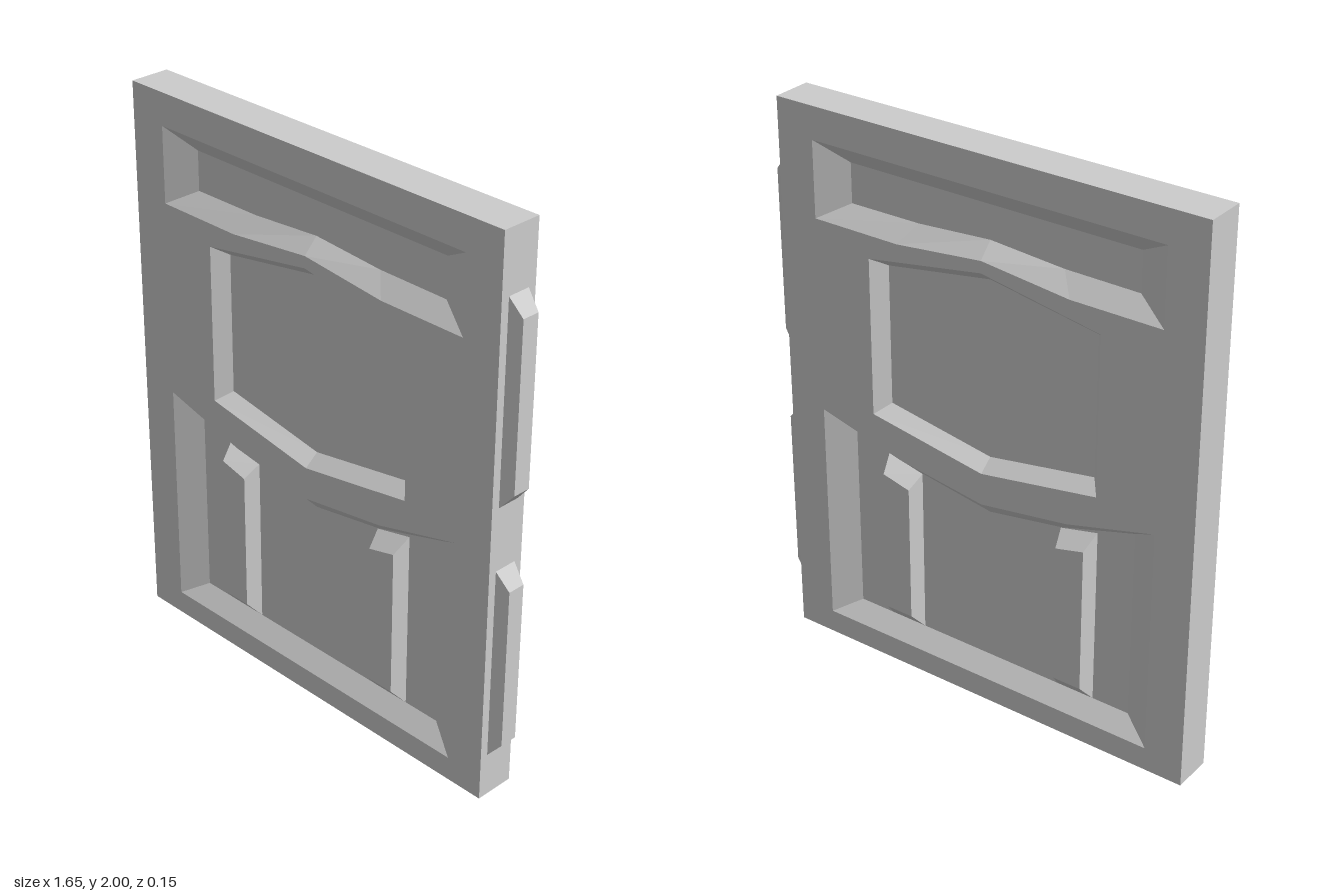
import * as THREE from 'three';
import { mergeGeometries } from 'three/addons/utils/BufferGeometryUtils.js';

const H = 0.072;      // half thickness of the door
const FLOOR = 0.022;  // depth of the recessed panels
const grey = new THREE.MeshStandardMaterial({ color: 0xcccccc, flatShading: true });
const paneGrey = new THREE.MeshStandardMaterial({ color: 0xf0f0f0, flatShading: true });

// Loops run counter-clockwise; give the right half from bottom to top.
const mirrorX = (pts) => pts.map(([x, y]) => [-x, y]).reverse();
const symmetric = (half) => [...half, ...mirrorX(half.filter(([x]) => x > 0))];
const rect = (x0, x1, y0, y1) => [[x0, y0], [x1, y0], [x1, y1], [x0, y1]];
const vectors = (loop) => loop.map(([x, y]) => new THREE.Vector2(x, y));

// Walls joining loop a at depth za to loop b at depth zb
function walls(a, za, b, zb) {
  const pos = [];
  a.forEach((p, i) => {
    const j = (i + 1) % a.length;
    const A = [...p, za], B = [...a[j], za], C = [...b[j], zb], D = [...b[i], zb];
    pos.push(...A, ...B, ...C, ...A, ...C, ...D);
  });
  const g = new THREE.BufferGeometry();
  g.setAttribute('position', new THREE.Float32BufferAttribute(pos, 3));
  g.computeVertexNormals();
  return g;
}

// Flat face at depth z, optionally with holes
function face(loop, z, holes = []) {
  const shape = new THREE.Shape(vectors(loop));
  shape.holes = holes.map((h) => new THREE.Path(vectors(h)));
  const g = new THREE.ShapeGeometry(shape).toNonIndexed();
  g.deleteAttribute('uv');
  return g.translate(0, 0, z);
}

const frustum = (a, za, b, zb) => mergeGeometries([walls(a, za, b, zb), face(b, zb)]);

function add(parent, name, geometry, material = grey) {
  const mesh = new THREE.Mesh(geometry, material);
  mesh.name = name;
  parent.add(mesh);
  return mesh;
}

const outline = rect(-0.8, 0.8, 0, 2);

const upper = {
  outer: symmetric([[0, 1.65], [0.328, 1.615], [0.66, 1.615], [0.66, 1.885]]),
  inner: symmetric([[0, 1.702], [0.275, 1.682], [0.546, 1.68], [0.546, 1.82]]),
};
const windowFrame = {
  outer: symmetric([[0, 0.893], [0.443, 0.966], [0.443, 1.533], [0, 1.608]]),
  inner: symmetric([[0, 0.933], [0.402, 1.0], [0.402, 1.502], [0, 1.568]]),
};
const lower = {
  outer: symmetric([[0.66, 0.086], [0.66, 0.912], [0.335, 0.827], [0, 0.777]]),
  inner: symmetric([[0.558, 0.152], [0.558, 0.85], [0.28, 0.77], [0, 0.724]]),
};
const bar = {
  outer: [[0.28, 0.152], [0.42, 0.152], [0.42, 0.8], [0.28, 0.768]],
  inner: [[0.297, 0.215], [0.403, 0.215], [0.403, 0.75], [0.297, 0.724]],
};

// One decorated side of the door
function createSide() {
  const side = new THREE.Group();
  add(side, 'doorFace', face(outline, H, [upper.outer, windowFrame.outer, lower.outer]));
  add(side, 'upperPanel', frustum(upper.outer, H, upper.inner, FLOOR));
  add(side, 'lowerPanel', frustum(lower.outer, H, lower.inner, FLOOR));
  add(side, 'windowFrame', walls(windowFrame.outer, H, windowFrame.inner, FLOOR));
  add(side, 'windowPane', face(windowFrame.inner, FLOOR), paneGrey);
  add(side, 'leftBar', frustum(bar.outer, FLOOR, bar.inner, H + 0.005));
  add(side, 'rightBar', frustum(mirrorX(bar.outer), FLOOR, mirrorX(bar.inner), H + 0.005));
  return side;
}

export function createModel() {
  const model = new THREE.Group();
  model.name = 'door';

  // The door is offset so that the hinges are included in the centring
  const door = new THREE.Group();
  door.name = 'doorLeaf';
  door.position.x = -0.025;
  model.add(door);

  add(door, 'doorEdges', walls(outline, -H, outline, H));

  const front = createSide();
  front.name = 'frontSide';
  const back = createSide();
  back.name = 'backSide';
  back.rotation.y = Math.PI;
  door.add(front, back);

  // Tapered hinges on the left edge
  for (const [name, y] of [['upperHinge', 1.437], ['lowerHinge', 0.511]]) {
    const base = rect(-0.042, 0.042, y - 0.35, y + 0.35);
    const tip = rect(-0.032, 0.032, y - 0.292, y + 0.292);
    add(door, name, frustum(base, 0.8, tip, 0.849).rotateY(Math.PI / 2));
  }
  return model;
}
